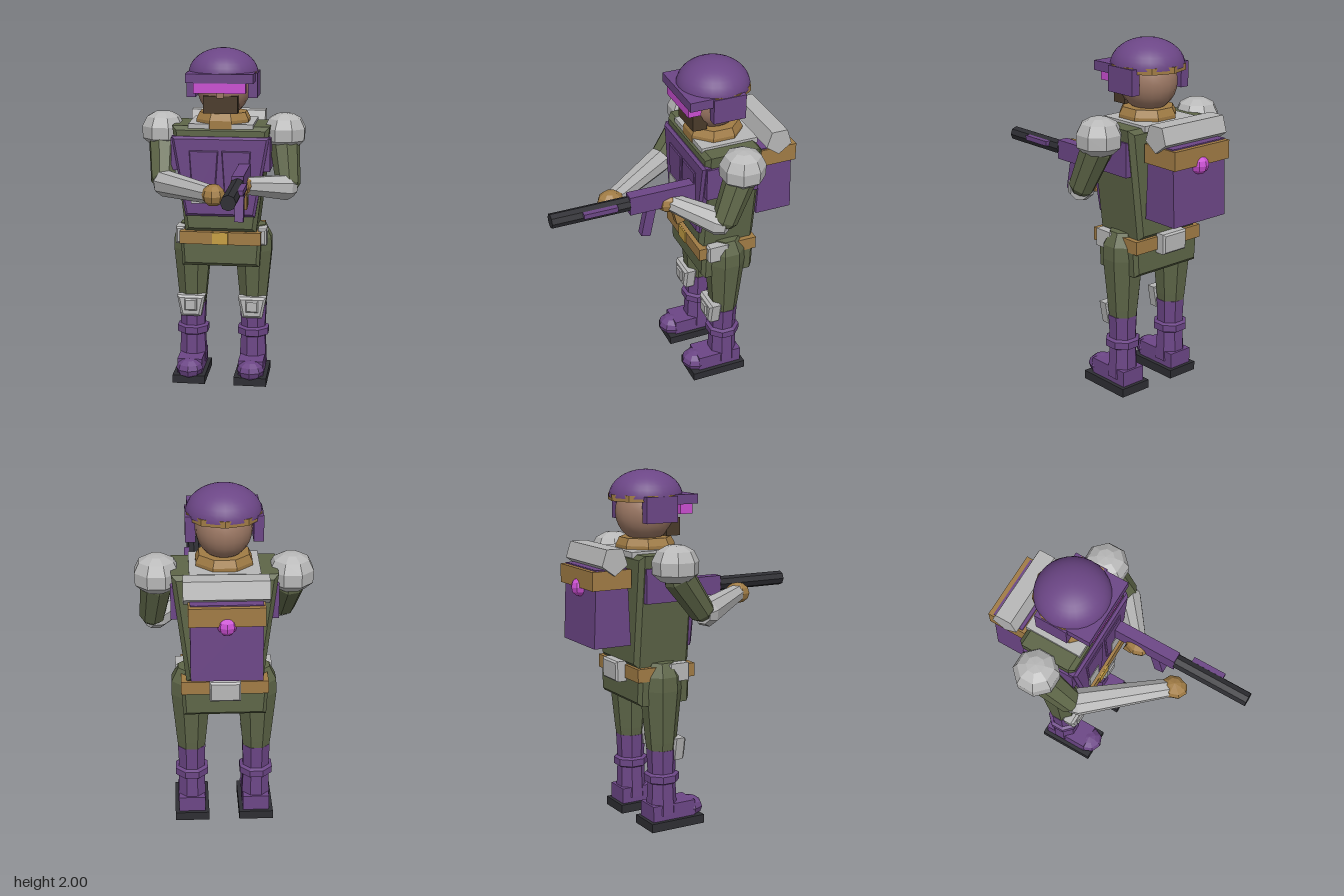
import * as THREE from 'three';

const mat = (name, color) => Object.assign(new THREE.MeshStandardMaterial({ color }), { name });
const purple = mat('purple armour', 0x6c4686);
const green = mat('olive cloth', 0x5e6648);
const grey = mat('light grey', 0xb8b8b8);
const tan = mat('tan leather', 0xa17c45);
const gold = mat('gold', 0xc7a044);
const skin = mat('skin', 0x9c7864);
const brown = mat('dark brown', 0x4a3a2a);
const dark = mat('black metal', 0x2e2e33);
const pink = mat('magenta glow', 0xca4fd2);

const V = (x, y, z) => new THREE.Vector3(x, y, z);

// Faceted normals
function flat(geo) {
  const g = geo.index ? geo.toNonIndexed() : geo;
  g.computeVertexNormals();
  return g;
}

export function createModel() {
  const model = new THREE.Group();
  model.name = 'armouredSoldier';

  function add(name, geo, material, x = 0, y = 0, z = 0) {
    const m = new THREE.Mesh(geo, material);
    m.name = name;
    m.position.set(x, y, z);
    model.add(m);
    return m;
  }
  // Box given by its limits on each axis
  function box(name, material, x0, x1, y0, y1, z0, z1) {
    return add(name, new THREE.BoxGeometry(x1 - x0, y1 - y0, z1 - z0), material,
      (x0 + x1) / 2, (y0 + y1) / 2, (z0 + z1) / 2);
  }
  // Bevelled slab with a tapered front outline; b = bottom half width, t = top half width
  function slab(name, material, b, t, y0, y1, z0, z1, bevel = 0.015, x = 0) {
    const s = new THREE.Shape([[-b, y0], [b, y0], [t, y1], [-t, y1]].map(p => new THREE.Vector2(...p)));
    const g = new THREE.ExtrudeGeometry(s, {
      depth: z1 - z0 - 2 * bevel, bevelEnabled: true, bevelSegments: 1,
      bevelSize: bevel, bevelOffset: -bevel, bevelThickness: bevel
    });
    return add(name, flat(g), material, x, 0, z0 + bevel);
  }
  // Faceted solid of revolution from [radius, height] pairs, bottom to top
  const turned = (pts, sides = 8) => {
    const g = new THREE.LatheGeometry(pts.map(p => new THREE.Vector2(...p)), sides);
    return flat(g.rotateY(Math.PI / sides));
  };
  // Limb with chamfered ends between two points
  function limb(name, material, a, b, ra, rb) {
    const l = a.distanceTo(b);
    const m = add(name, turned([[0, -0.03], [ra * 0.65, -0.03], [ra, 0.025],
      [rb, l - 0.02], [rb * 0.7, l + 0.01], [0, l + 0.01]]), material, a.x, a.y, a.z);
    m.quaternion.setFromUnitVectors(V(0, 1, 0), b.clone().sub(a).normalize());
    return m;
  }

  // Head
  const face = add('head', new THREE.SphereGeometry(1, 20, 14), skin, 0, 1.77, -0.28);
  face.scale.set(0.155, 0.17, 0.17);
  box('beard', brown, -0.1, 0.1, 1.635, 1.735, -0.2, -0.115);
  box('nose', skin, -0.02, 0.02, 1.725, 1.765, -0.15, -0.1);

  // Helmet
  const dome = add('helmetDome', new THREE.SphereGeometry(0.205, 28, 10, 0, Math.PI * 2, 0, Math.PI / 2),
    purple, 0, 1.85, -0.275);
  dome.scale.y = 0.15 / 0.205;
  add('helmetRim', flat(new THREE.CylinderGeometry(0.21, 0.21, 0.035, 10)), tan, 0, 1.85, -0.275);
  box('helmetBrow', purple, -0.195, 0.195, 1.815, 1.868, -0.2, -0.057);
  box('visor', pink, -0.15, 0.15, 1.757, 1.816, -0.14, -0.065);
  for (const s of [-1, 1]) {
    box('earGuard', purple, s * 0.18 - 0.027, s * 0.18 + 0.027, 1.72, 1.862, -0.38, -0.19);
  }

  // Collar and yoke
  add('collar', turned([[0, 1.54], [0.165, 1.54], [0.165, 1.59], [0.145, 1.63], [0, 1.63]]), tan, 0, 0, -0.28);
  box('yoke', grey, -0.19, 0.19, 1.54, 1.572, -0.465, -0.13);

  // Torso
  slab('torso', green, 0.21, 0.285, 0.93, 1.558, -0.46, -0.12, 0.025);
  slab('chestPlate', purple, 0.205, 0.285, 1.03, 1.5, -0.16, -0.1);
  for (const s of [-1, 1]) {
    slab('chestPanel', purple, 0.065, 0.085, 1.12, 1.42, -0.11, -0.09, 0.005, s * 0.095);
    box('chestPatch', grey, s * 0.12 - 0.048, s * 0.12 + 0.048, 1.11, 1.23, -0.095, -0.086);
    box('sidePanel', purple, s * 0.27 - 0.02, s * 0.27 + 0.02, 1.3, 1.49, -0.43, -0.12);
  }

  // Hips and belt
  slab('hips', green, 0.23, 0.24, 0.72, 0.9, -0.45, -0.13, 0.02);
  box('belt', tan, -0.24, 0.24, 0.86, 0.935, -0.46, -0.105);
  box('buckle', gold, -0.047, 0.047, 0.862, 0.933, -0.12, -0.097);
  slab('backPouch', grey, 0.085, 0.085, 0.84, 0.955, -0.515, -0.44, 0.01);

  for (const s of [-1, 1]) {
    const x = s * 0.185;
    slab('hipPouch', grey, 0.025, 0.025, 0.85, 0.95, -0.28, -0.15, 0.01, s * 0.245);

    // Leg
    add('thigh', turned([[0, 0.44], [0.08, 0.44], [0.088, 0.5], [0.118, 0.8], [0.115, 0.88],
      [0.075, 0.955], [0, 0.96]]), green, x, 0, -0.29);
    slab('kneePad', grey, 0.06, 0.085, 0.39, 0.52, -0.25, -0.17, 0.015, x);
    slab('kneePlate', grey, 0.037, 0.037, 0.43, 0.503, -0.18, -0.157, 0.008, x);

    // Boot
    add('bootShaft', turned([[0, 0.08], [0.088, 0.08], [0.078, 0.3], [0.085, 0.455], [0, 0.455]]),
      purple, x, 0, -0.288);
    add('bootCuff', turned([[0.08, 0.26], [0.1, 0.27], [0.1, 0.31], [0.08, 0.32]]), purple, x, 0, -0.288);
    box('heel', purple, x - 0.075, x + 0.075, 0.045, 0.14, -0.38, -0.11);
    const toe = add('toeCap', flat(new THREE.SphereGeometry(1, 8, 6)), purple, x, 0.085, -0.11);
    toe.scale.set(0.082, 0.06, 0.08);
    box('sole', dark, x - 0.098, x + 0.098, 0, 0.05, -0.4, -0.065);

    // Shoulder pad
    add('shoulderPad', turned([[0, 1.425], [0.08, 1.425], [0.125, 1.465], [0.128, 1.535],
      [0.1, 1.59], [0.05, 1.617], [0, 1.622]]), grey, s * 0.362, 0, -0.295);
  }

  // Arms
  const arms = [
    { side: 'left', elbow: V(0.395, 1.2, -0.175), hand: V(0.14, 1.25, 0.045) },
    { side: 'right', elbow: V(-0.335, 1.225, -0.1), hand: V(0.02, 1.255, 0.345) }
  ];
  for (const { side, elbow, hand } of arms) {
    const shoulder = V(side === 'left' ? 0.36 : -0.36, 1.47, -0.29);
    limb(side + 'UpperArm', green, shoulder, elbow, 0.09, 0.072);
    limb(side + 'Forearm', grey, elbow, hand, 0.078, 0.052);
    const fist = add(side + 'Hand', flat(new THREE.SphereGeometry(1, 8, 6)), tan, hand.x, hand.y, hand.z);
    fist.scale.set(0.065, 0.062, 0.078);
  }

  // Rifle
  const gx = 0.146;
  box('rifleBody', purple, gx - 0.033, gx + 0.033, 1.238, 1.35, -0.13, 0.287);
  const barrel = add('rifleBarrel', flat(new THREE.CylinderGeometry(0.042, 0.042, 0.45, 8)), dark, gx, 1.298, 0.51);
  barrel.rotation.x = Math.PI / 2;
  box('rifleRail', purple, gx + 0.03, gx + 0.06, 1.3, 1.328, 0.365, 0.56);
  const grips = [['frontGrip', purple, 1.165, 0.175, 0.19, 0.055], ['rearGrip', tan, 1.16, -0.005, 0.11, 0.05]];
  grips.forEach(([name, m, y, z, h, d], i) => {
    add(name, new THREE.BoxGeometry(0.05, h, d), m, gx, y, z).rotation.x = i ? 0.25 : -0.2;
  });

  // Backpack
  const pack = new THREE.BoxGeometry(0.38, 0.425, 0.22);
  const p = pack.attributes.position;
  for (let i = 0; i < p.count; i++) if (p.getY(i) > 0) p.setZ(i, p.getZ(i) * 0.84);
  add('backpack', flat(pack), purple, 0, 1.277, -0.587);
  box('packFlap', tan, -0.2, 0.2, 1.38, 1.483, -0.707, -0.475);
  box('packTop', purple, -0.175, 0.175, 1.48, 1.488, -0.68, -0.505);
  const roll = add('bedroll', flat(new THREE.CylinderGeometry(0.08, 0.08, 0.45, 5).rotateY(-Math.PI / 2)),
    grey, 0, 1.536, -0.585);
  roll.rotation.z = Math.PI / 2;
  add('packGem', flat(new THREE.SphereGeometry(0.052, 8, 6)), pink, 0, 1.378, -0.685);

  return model;
}
